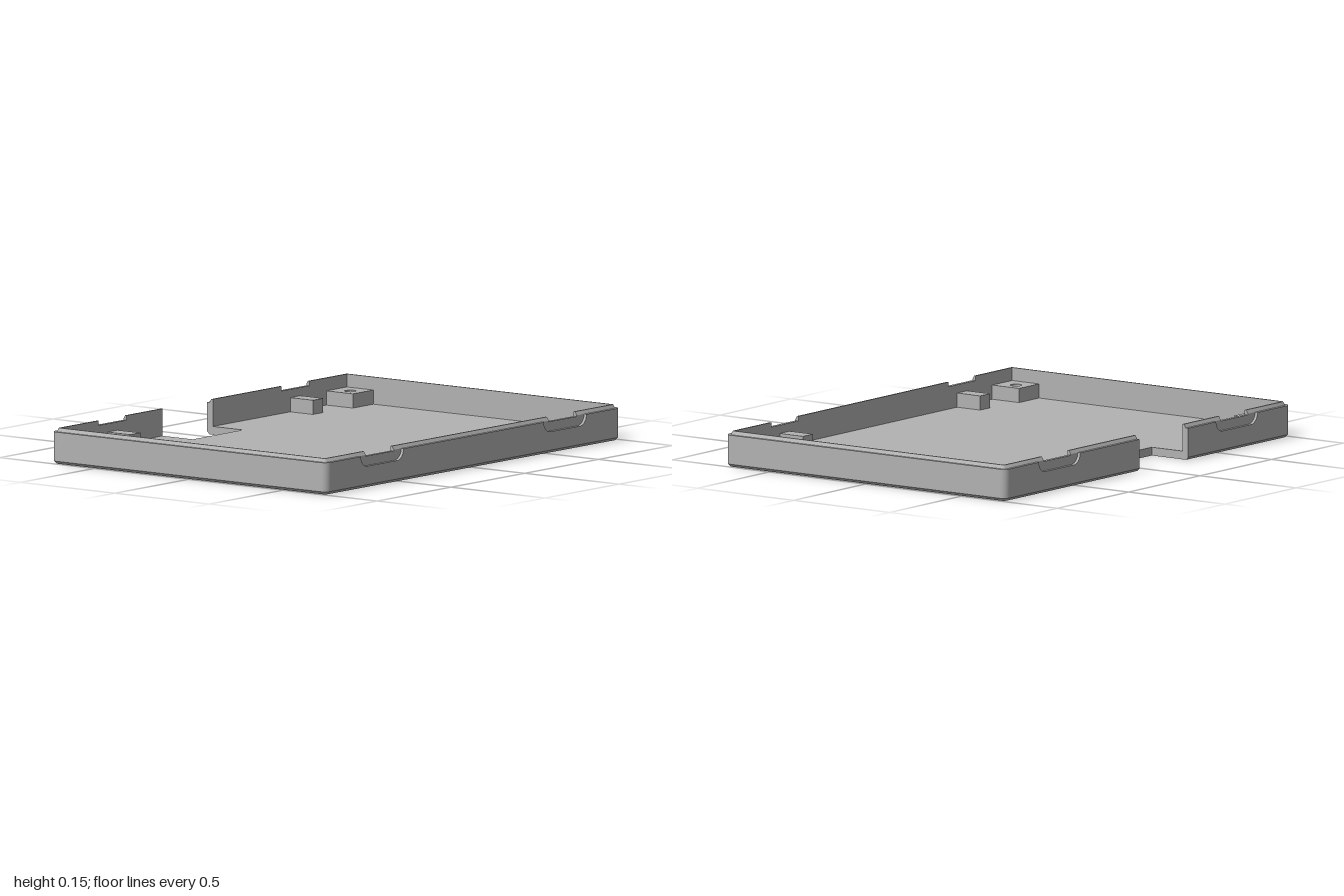
import * as THREE from 'three';
import { toCreasedNormals } from 'three/addons/utils/BufferGeometryUtils.js';

const IX = 0.97, IZ = 0.70;            // inside half-sizes of the tray
const RIM = 0.15, LEDGE = 0.135, FLOOR = 0.035;
const NOTCH = { x0: -0.28, x1: 0.06, z: -0.54 };
const HOLE = { x: 0.89, z: 0.62 };

// Wall cross-section: [distance outward from the inner face, height]
const section = (top, sill) => [
  [0, 0], [0, top], [0.008, top], [0.017, Math.min(LEDGE, top)],
  [0.017, sill], [0.03, sill], [0.03, 0.012], [0.018, 0],
];

// Wall heights across one latch recess, as [offset from centre, top, sill]
function latchSteps() {
  const half = 0.145, r = 0.045, cut = 0.095, steps = [];
  for (let i = 0; i <= 6; i++) {
    const a = (i / 6) * Math.PI / 2;
    steps.push([-half + r * (1 - Math.cos(a)), RIM, LEDGE - r * Math.sin(a)]);
  }
  const low = LEDGE - r;
  steps.push([-cut, RIM, low], [-cut, 0.13, low]);
  return [...steps, ...steps.map(([o, t, s]) => [-o, t, s]).reverse()];
}

// Stations around the tray, from one side of the cable notch to the other
function wallStations() {
  const list = [];
  const add = (x, z, angle, top = RIM, sill = LEDGE) =>
    list.push({ x, z, nx: Math.cos(angle), nz: Math.sin(angle), top, sill });
  const corner = (x, z, start) => {
    for (let i = 0; i <= 6; i++) add(x, z, start + (i / 6) * Math.PI / 2);
  };
  const latch = (cx, z, dir) => {
    for (const [o, t, s] of latchSteps()) add(cx + o * dir, z, -dir * Math.PI / 2, t, s);
  };
  add(NOTCH.x1, -IZ, -Math.PI / 2);
  latch(0.62, -IZ, 1);
  corner(IX, -IZ, -Math.PI / 2);
  corner(IX, IZ, 0);
  latch(0.62, IZ, -1);
  latch(-0.62, IZ, -1);
  corner(-IX, IZ, Math.PI / 2);
  corner(-IX, -IZ, Math.PI);
  latch(-0.62, -IZ, 1);
  add(NOTCH.x0, -IZ, -Math.PI / 2);
  return list;
}

function wallGeometry() {
  const rings = wallStations().map(s => section(s.top, s.sill)
    .map(([d, y]) => [s.x + s.nx * d, y, s.z + s.nz * d]));
  const pos = [];
  const tri = (a, b, c) => pos.push(...a, ...b, ...c);
  for (let i = 0; i < rings.length - 1; i++) {
    const p = rings[i], q = rings[i + 1];
    for (let j = 0; j < p.length; j++) {
      const k = (j + 1) % p.length;
      tri(p[j], q[j], q[k]);
      tri(p[j], q[k], p[k]);
    }
  }
  // Cut ends beside the notch
  const first = rings[0], last = rings[rings.length - 1];
  for (let k = 1; k < first.length - 1; k++) {
    tri(first[0], first[k], first[k + 1]);
    tri(last[0], last[k + 1], last[k]);
  }
  const g = new THREE.BufferGeometry();
  g.setAttribute('position', new THREE.Float32BufferAttribute(pos, 3));
  return toCreasedNormals(g, 0.5);
}

// Flat plate from [x, z] outline points with round holes, standing on y = 0
function plate(points, holes, radius, height) {
  const shape = new THREE.Shape(points.map(([x, z]) => new THREE.Vector2(x, -z)));
  for (const [x, z] of holes) {
    shape.holes.push(new THREE.Path().absarc(x, -z, radius, 0, Math.PI * 2, true));
  }
  const g = new THREE.ExtrudeGeometry(shape, { depth: height, bevelEnabled: false, curveSegments: 24 });
  g.rotateX(-Math.PI / 2);
  return toCreasedNormals(g, 0.5);
}

export function createModel() {
  const group = new THREE.Group();
  group.name = 'enclosureTray';
  const grey = new THREE.MeshStandardMaterial({ color: 0xb2b2b2 });
  grey.name = 'grey plastic';
  const add = (name, geometry, x = 0, y = 0, z = 0) => {
    const mesh = new THREE.Mesh(geometry, grey);
    mesh.name = name;
    mesh.position.set(x, y, z);
    group.add(mesh);
  };

  add('rimWall', wallGeometry());

  // Floor with the cable notch and screw recesses
  const quadrants = [[1, 1], [-1, 1], [-1, -1], [1, -1]];
  add('floor', plate(
    [[-IX, IZ], [IX, IZ], [IX, -IZ], [NOTCH.x1, -IZ], [NOTCH.x1, NOTCH.z],
      [NOTCH.x0, NOTCH.z], [NOTCH.x0, -IZ], [-IX, -IZ]],
    quadrants.map(([sx, sz]) => [sx * HOLE.x, sz * HOLE.z]), 0.038, FLOOR));

  for (const [sx, sz] of quadrants) {
    // Square screw post in each corner
    const x0 = 0.83 - HOLE.x, x1 = IX - HOLE.x, z0 = 0.56 - HOLE.z, z1 = IZ - HOLE.z;
    const outline = [[x0, z0], [x1, z0], [x1, z1], [x0, z1]].map(([x, z]) => [x * sx, z * sz]);
    add('screwPost', plate(outline, [[0, 0]], 0.024, 0.06), sx * HOLE.x, FLOOR, sz * HOLE.z);
    // Support block behind each latch recess
    add('supportBlock', new THREE.BoxGeometry(0.07, 0.06, 0.12), sx * 0.62, FLOOR + 0.03, sz * 0.64);
  }
  return group;
}
